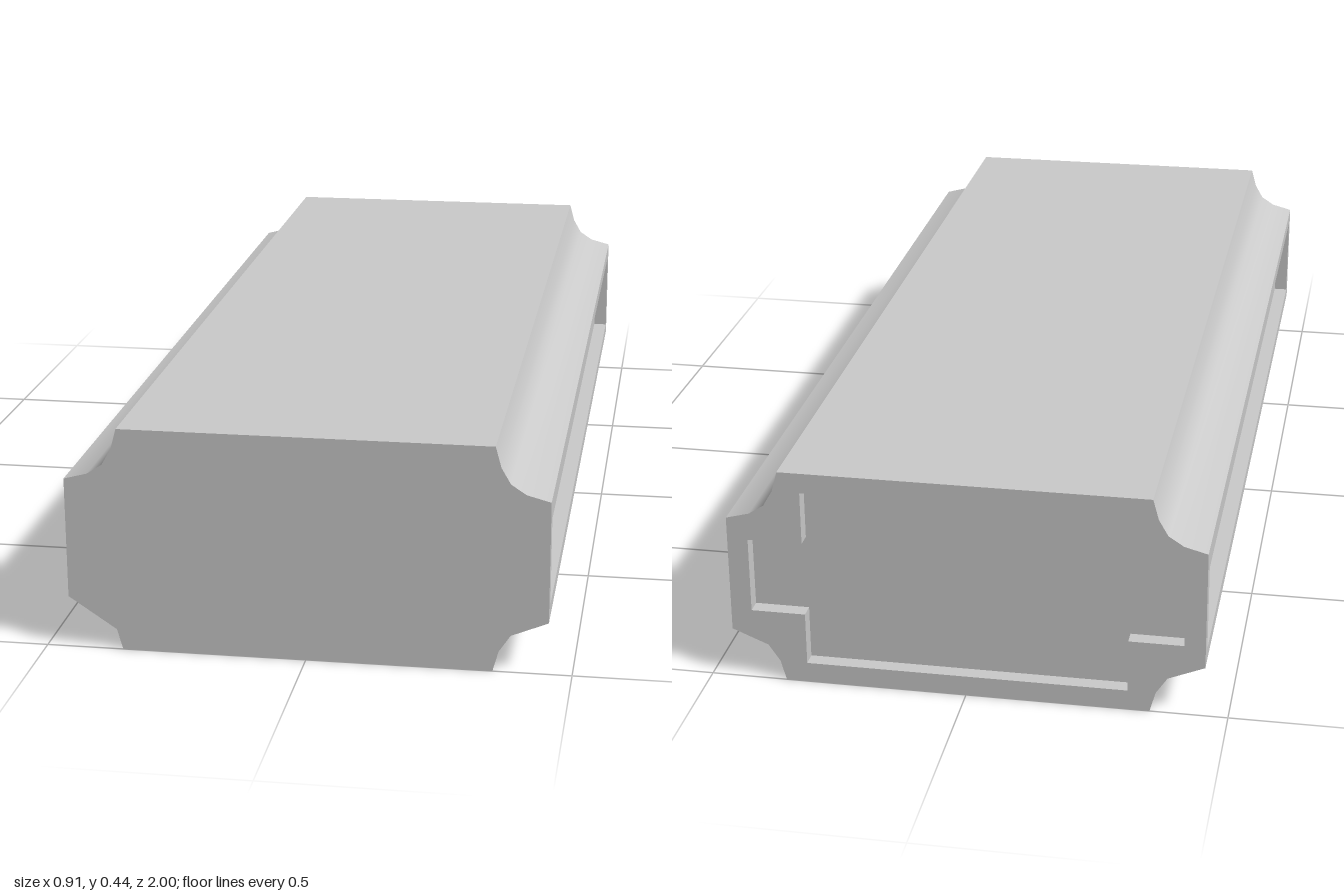
import * as THREE from 'three';
import { mergeGeometries } from 'three/addons/utils/BufferGeometryUtils.js';

const v = (x, y) => new THREE.Vector2(x, y);
const plain = (g) => {
  const out = g.index ? g.toNonIndexed() : g;
  out.deleteAttribute('uv');
  return out;
};

// Strip of quads along a path, from z0 back to z1; faces to the right of travel
function ribbon(path, z0, z1, smooth) {
  const pos = [], idx = [];
  path.forEach((p, i) => {
    pos.push(p.x, p.y, z0, p.x, p.y, z1);
    if (i < path.length - 1) {
      const a = 2 * i;
      idx.push(a, a + 1, a + 2, a + 2, a + 1, a + 3);
    }
  });
  let g = new THREE.BufferGeometry();
  g.setAttribute('position', new THREE.Float32BufferAttribute(pos, 3));
  g.setIndex(idx);
  if (!smooth) g = g.toNonIndexed();
  g.computeVertexNormals();
  return plain(g);
}

// Flat face toward +z with a sunken panel: rim, inner walls and floor
function recessedFace(outline, opening, depth) {
  const rim = new THREE.Shape(outline);
  rim.holes.push(new THREE.Path(opening));
  const floor = new THREE.ShapeGeometry(new THREE.Shape(opening)).translate(0, 0, -depth);
  const loop = [...opening, opening[0]].reverse();
  return mergeGeometries([
    plain(new THREE.ShapeGeometry(rim)),
    plain(floor),
    ribbon(loop, 0, -depth, false),
  ]);
}

const rect = (w, y0, y1) => [v(-w, y0), v(w, y0), v(w, y1), v(-w, y1)];
const mirror = (pts) => pts.map((p) => v(-p.x, p.y)).reverse();

export function createModel() {
  const group = new THREE.Group();
  const material = new THREE.MeshStandardMaterial({ color: 0xcccccc });
  const add = (name, geometry, mat = material) => {
    const mesh = new THREE.Mesh(geometry, mat);
    mesh.name = name;
    group.add(mesh);
  };

  // Cross-section: concave coves at the four corners, counter-clockwise
  const lowCove = [v(0.352, 0), v(0.363, 0.04), v(0.385, 0.073), v(0.455, 0.102)];
  const highCove = [v(0.455, 0.338), v(0.41, 0.35), v(0.381, 0.369), v(0.363, 0.4), v(0.352, 0.44)];
  const lowCoveL = mirror(lowCove), highCoveL = mirror(highCove);
  const section = [...lowCove, ...highCove, ...highCoveL, ...lowCoveL];

  // Long surfaces
  add('topFace', ribbon([v(0.352, 0.44), v(-0.352, 0.44)], 1, -1, false));
  add('bottomFace', ribbon([v(-0.352, 0), v(0.352, 0)], 1, -1, false));
  add('lowerLeftCove', ribbon(lowCove, 1, -1, true));
  add('upperLeftCove', ribbon(highCove, 1, -1, true));
  add('upperRightCove', ribbon(highCoveL, 1, -1, true));
  add('lowerRightCove', ribbon(lowCoveL, 1, -1, true));

  // Plain front end, its lower right corner cut by a straight chord
  const chord = lowCoveL.filter((p, i) => i !== 1);
  const frontOutline = [...lowCove, ...highCove, ...highCoveL, ...chord];
  const front = new THREE.ShapeGeometry(new THREE.Shape(frontOutline)).translate(0, 0, 1);
  add('frontEnd', front, new THREE.MeshStandardMaterial({ color: 0xcccccc, side: THREE.DoubleSide }));

  // Back end with a cross-shaped sunken panel
  const half = [v(0.31, 0.04), v(0.31, 0.145), v(0.415, 0.145), v(0.415, 0.295), v(0.31, 0.295), v(0.31, 0.4)];
  const back = recessedFace(section, [...half, ...mirror(half)], 0.03);
  add('backEnd', back.rotateY(Math.PI).translate(0, 0, -1));

  // Sides with long sunken panels
  for (const s of [1, -1]) {
    const side = recessedFace(rect(1, 0.102, 0.338), rect(0.97, 0.128, 0.31), 0.03);
    add(s > 0 ? 'leftSide' : 'rightSide', side.rotateY(s * Math.PI / 2).translate(s * 0.455, 0, 0));
  }
  return group;
}
